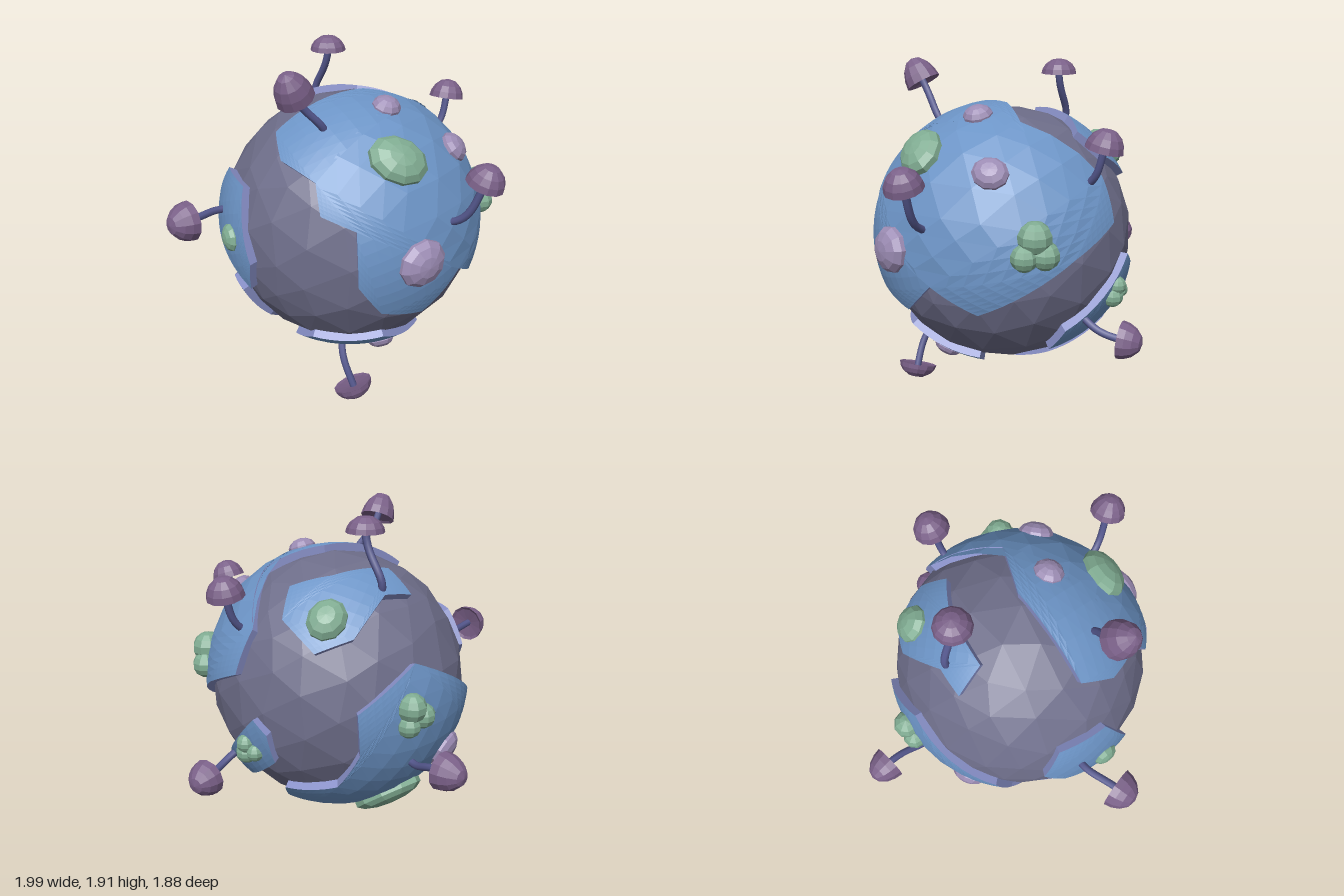
import * as THREE from 'three';

const V = (x, y, z) => new THREE.Vector3(x, y, z);
const mat = (color, flatShading = true) => new THREE.MeshStandardMaterial({ color, flatShading });
const M = {
  ground: mat(0x6e6e8a), plate: mat(0x6c94c6), rim: mat(0x8890c8), green: mat(0x80ac92),
  lilac: mat(0x9c8cb4), cap: mat(0x7a6088), stem: mat(0x55588e, false),
};
const GROUND = 0.735, TOP = 0.77, CENTRE_Y = 0.92;

// Axes of a tangent frame facing azimuth / elevation (degrees)
function frame(az, el) {
  const a = THREE.MathUtils.degToRad(az), e = THREE.MathUtils.degToRad(el);
  return [
    V(Math.cos(a), 0, -Math.sin(a)),
    V(-Math.sin(a) * Math.sin(e), Math.cos(e), -Math.cos(a) * Math.sin(e)),
    V(Math.sin(a) * Math.cos(e), Math.sin(e), Math.cos(a) * Math.cos(e)),
  ];
}

// Lift flat (u, v) points of a tangent frame onto the unit sphere
function lift(az, el, pts) {
  const [r, u, d] = frame(az, el);
  return pts.map(([x, y]) => {
    const w = Math.sqrt(Math.max(0, 0.76 * 0.76 - x * x - y * y));
    return V(0, 0, 0).addScaledVector(r, x).addScaledVector(u, y).addScaledVector(d, w).normalize();
  });
}

function meshFrom(points, material, name) {
  const g = new THREE.BufferGeometry().setFromPoints(points);
  g.computeVertexNormals();
  const m = new THREE.Mesh(g, material);
  m.name = name;
  return m;
}

// Raised crust plate: curved top plus a wall around its outline
function plate(outline, name) {
  const c = outline.reduce((s, p) => s.add(p), V(0, 0, 0)).normalize();
  const q = new THREE.Quaternion().setFromUnitVectors(c, V(0, 0, 1));
  const flatten = p => {
    const t = p.clone().applyQuaternion(q);
    return new THREE.Vector2(t.x, t.y).divideScalar(1 + t.z);
  };
  if (THREE.ShapeUtils.area(outline.map(flatten)) < 0) outline.reverse();
  const top = [], wall = [];
  const mid = (a, b) => a.clone().add(b).normalize();
  const split = (a, b, d, n) => {
    if (n === 0) { top.push(...[a, b, d].map(p => p.clone().multiplyScalar(TOP))); return; }
    const ab = mid(a, b), bd = mid(b, d), da = mid(d, a);
    split(a, ab, da, n - 1); split(ab, b, bd, n - 1);
    split(da, bd, d, n - 1); split(ab, bd, da, n - 1);
  };
  const side = (a, b, n) => {
    if (n > 0) { const m = mid(a, b); side(a, m, n - 1); side(m, b, n - 1); return; }
    const at = (p, r) => p.clone().multiplyScalar(r);
    wall.push(at(a, 0.7), at(b, 0.7), at(b, TOP), at(a, 0.7), at(b, TOP), at(a, TOP));
  };
  for (const [i, j, k] of THREE.ShapeUtils.triangulateShape(outline.map(flatten), []))
    split(outline[i], outline[j], outline[k], 3);
  outline.forEach((p, i) => side(p, outline[(i + 1) % outline.length], 3));
  const g = new THREE.Group();
  g.name = name;
  g.add(meshFrom(top, M.plate, 'plateTop'), meshFrom(wall, M.rim, 'plateRim'));
  return g;
}

// Flattened boulder lying on the surface; spin turns its long axis
function boulder([x, y, z], [a, b, h], material, name, spin = 0) {
  const m = new THREE.Mesh(new THREE.SphereGeometry(1, 10, 7), material);
  const n = V(x, y, z).normalize();
  m.position.copy(n).multiplyScalar(TOP - 0.01);
  m.quaternion.setFromUnitVectors(V(0, 1, 0), n)
    .multiply(new THREE.Quaternion().setFromAxisAngle(V(0, 1, 0), spin));
  m.scale.set(a, h, b);
  m.name = name;
  return m;
}

// Three overlapping balls
function bush(pos, r) {
  const g = new THREE.Group();
  g.name = 'bush';
  const n = V(...pos).normalize();
  const q = new THREE.Quaternion().setFromUnitVectors(V(0, 0, 1), n);
  [[-0.2, 0.6, 1], [0.65, -0.15, 0.85], [-0.45, -0.6, 0.8]].forEach(([x, y, s]) => {
    const m = new THREE.Mesh(new THREE.SphereGeometry(r * s, 9, 7), M.green);
    m.position.copy(V(x * r, y * r, 0).applyQuaternion(q)).addScaledVector(n, TOP);
    m.name = 'bushBall';
    g.add(m);
  });
  return g;
}

// Mushroom: curved stem from the ground into a domed cap
function mushroom({ base, cap, axis, r = 0.103, h = 0.1 }) {
  const g = new THREE.Group();
  g.name = 'mushroom';
  const n = V(...base).normalize(), a = V(...axis).normalize(), c = V(...cap);
  const foot = n.clone().multiplyScalar(0.71);
  const bend = foot.distanceTo(c) * 0.45;
  const path = new THREE.CubicBezierCurve3(foot, foot.clone().addScaledVector(n, bend),
    c.clone().addScaledVector(a, -bend), c.clone().addScaledVector(a, 0.03));
  const stem = new THREE.Mesh(new THREE.TubeGeometry(path, 12, 0.021, 8), M.stem);
  stem.name = 'stem';
  const profile = [[0, 0.2], [0.85, 0.08], [1, 0], [0.93, 0.32], [0.75, 0.64], [0.42, 0.91], [0, 1]]
    .map(([x, y]) => new THREE.Vector2(x * r, y * h));
  const top = new THREE.Mesh(new THREE.LatheGeometry(profile, 12), M.cap);
  top.position.copy(c);
  top.quaternion.setFromUnitVectors(V(0, 1, 0), a);
  top.name = 'cap';
  g.add(stem, top);
  return g;
}

export function createModel() {
  const model = new THREE.Group();
  model.name = 'mushroomPlanet';

  // Faceted ground, slightly irregular
  const geo = new THREE.IcosahedronGeometry(GROUND, 3);
  const p = geo.attributes.position;
  for (let i = 0; i < p.count; i++) {
    const v = V(0, 0, 0).fromBufferAttribute(p, i);
    v.add(V(Math.sin(v.y * 17 + 1), Math.sin(v.z * 19 + 2), Math.sin(v.x * 15)).multiplyScalar(0.025));
    v.setLength(GROUND);
    p.setXYZ(i, v.x, v.y, v.z);
  }
  geo.computeVertexNormals();
  const ground = new THREE.Mesh(geo, M.ground);
  ground.name = 'ground';
  model.add(ground);

  // Crust plates
  model.add(
    plate([
      ...lift(0, 0, [[-0.18, 0.6], [-0.05, 0.51], [0.18, 0.45], [0.25, 0.31], [0.42, 0.245], [0.45, -0.05]]),
      ...lift(90, 0, [[-0.5, -0.235], [-0.278, -0.3], [-0.08, -0.097], [0.167, -0.229], [0.597, 0.055], [0.71, 0.19]]),
      ...lift(0, 90, [[0.14, 0.62], [0.31, 0.254], [0.06, 0.04]]),
    ], 'largePlate'),
    plate(lift(0, 90, [[-0.5, 0.094], [-0.34, 0.05], [-0.155, 0.32], [0.027, 0.44], [-0.02, 0.585],
      [-0.235, 0.63], [-0.385, 0.505], [-0.42, 0.24]]), 'upperPlate'),
    plate(lift(0, 0, [[-0.49, 0.345], [-0.255, 0.345], [-0.136, -0.035], [-0.17, -0.21], [-0.53, 0.01],
      [-0.6, 0.15]]), 'frontPlate'),
    plate([
      ...lift(212, 18, [[0.37, 0.08], [0.075, -0.17], [0.09, -0.39], [-0.02, -0.575], [-0.3, -0.6]]),
      ...lift(0, -90, [[0.09, -0.32], [0.1, -0.11], [-0.28, 0.25]]),
      ...lift(0, 0, [[-0.26, -0.55], [-0.31, -0.31], [-0.45, -0.3], [-0.57, -0.39], [-0.66, -0.26], [-0.73, -0.02]]),
    ], 'sidePlate'),
    plate([
      ...lift(0, 0, [[-0.056, -0.586], [0.125, -0.495], [0.46, -0.48]]),
      ...lift(0, -90, [[0.45, -0.05], [0.33, -0.02], [0, 0.28]]),
    ], 'lowerPlate'),
    plate(lift(140, -37, [[0.44, 0.36], [0.04, 0.09], [0, -0.09], [0.49, 0.11], [0.5, 0.27]]), 'backPlate'),
  );

  // Green boulders and bushes
  [
    [[0.46, 0.52, 0.27], [0.165, 0.135, 0.08], 0.5],
    [[-0.235, 0.49, -0.505], [0.105, 0.12, 0.075], 0],
    [[-0.31, 0.05, 0.67], [0.075, 0.08, 0.05], 0],
    [[-0.42, -0.55, -0.18], [0.14, 0.21, 0.065], 0.5],
  ].forEach(([c, s, spin]) => model.add(boulder(c, s, M.green, 'greenBoulder', spin)));
  model.add(bush([0.6, 0.13, -0.43], 0.09), bush([-0.65, 0.02, -0.36], 0.08), bush([0.12, -0.21, -0.7], 0.06));

  // Lilac boulders
  [
    [[0.66, 0.04, 0.35], [0.13, 0.14, 0.08]],
    [[0.257, 0.71, 0.04], [0.08, 0.085, 0.06]],
    [[0.55, 0.47, -0.17], [0.09, 0.1, 0.06]],
    [[-0.46, -0.516, 0.33], [0.09, 0.08, 0.045]],
    [[-0.69, -0.32, 0], [0.115, 0.11, 0.07]],
    [[0.345, -0.63, 0.2], [0.085, 0.08, 0.05]],
  ].forEach(([c, s]) => model.add(boulder(c, s, M.lilac, 'lilacBoulder')));

  // Mushrooms
  [
    { base: [-0.4, 0.6, -0.22], cap: [-0.29, 0.9, -0.215], axis: [0, 1, 0], h: 0.085 },
    { base: [0.09, 0.645, 0.37], cap: [0.015, 0.845, 0.515], axis: [0, 0.86, 0.5], h: 0.155 },
    { base: [0.715, 0.19, 0.13], cap: [0.885, 0.447, 0.13], axis: [0.3, 0.92, 0], h: 0.11 },
    { base: [-0.66, -0.3, -0.32], cap: [-0.865, -0.21, -0.44], axis: [-0.92, 0.05, -0.3], h: 0.14 },
    { base: [0.205, -0.61, 0.4], cap: [0.31, -0.83, 0.445], axis: [0.4, -0.9, 0], r: 0.113, h: 0.085 },
    { base: [0.3, -0.32, -0.59], cap: [0.34, -0.4, -0.82], axis: [0, -0.05, -1], h: 0.12 },
    { base: [0.24, 0.4, -0.59], cap: [0.27, 0.59, -0.67], axis: [0, 0.96, -0.22], h: 0.11 },
    { base: [-0.45, 0.15, 0.59], cap: [-0.49, 0.16, 0.82], axis: [-0.2, 0.08, 0.97], r: 0.112, h: 0.125 },
  ].forEach(m => model.add(mushroom(m)));

  model.children.forEach(c => { c.position.y += CENTRE_Y; });
  return model;
}
